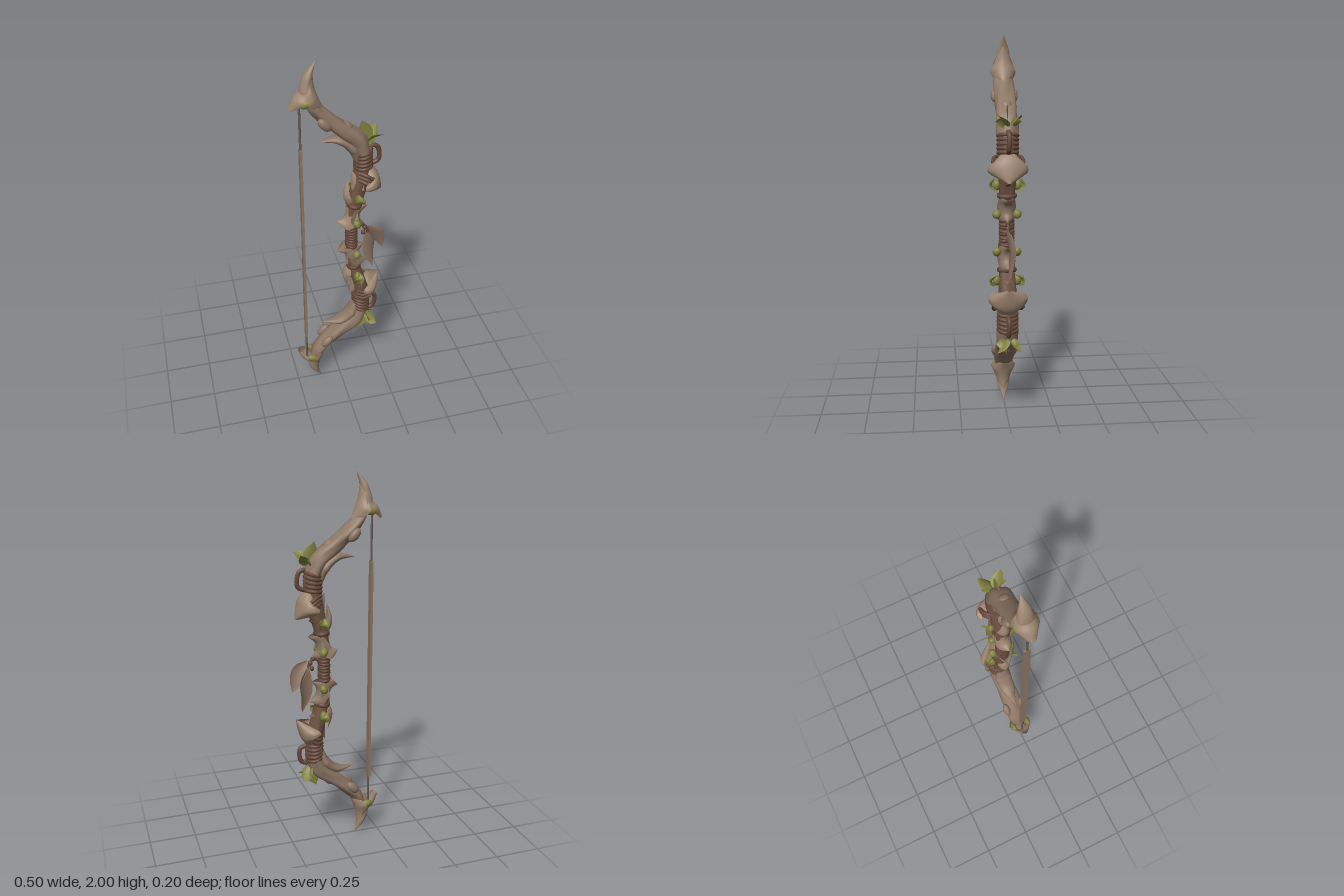
import * as THREE from 'three';

const V = (x, y, z = 0) => new THREE.Vector3(x, y, z);
const Z = V(0, 0, 1);
const mat = (name, color) => {
  const m = new THREE.MeshStandardMaterial({ color, side: THREE.DoubleSide });
  m.name = name;
  return m;
};
const M = {
  bark: mat('bark', 0x8c7564),
  plate: mat('pale bark plate', 0x9c8470),
  core: mat('dark wood', 0x6f5343),
  wrap: mat('binding', 0x654638),
  leaf: mat('leaf', 0x80803f),
  feather: mat('feather', 0x876e5e),
  string: mat('bowstring', 0x665c54),
};

// linear lookup along a list of widths
const pick = (a, t) => {
  const f = t * (a.length - 1), i = Math.min(Math.floor(f), a.length - 2);
  return THREE.MathUtils.lerp(a[i], a[i + 1], f - i);
};

function gridGeometry(pos, rows, cols, wrapAround) {
  const idx = [], n = wrapAround ? cols : cols - 1;
  for (let i = 0; i < rows - 1; i++) for (let j = 0; j < n; j++) {
    const a = i * cols + j, b = i * cols + (j + 1) % cols, c = a + cols, d = b + cols;
    idx.push(a, c, b, b, c, d);
  }
  const g = new THREE.BufferGeometry();
  g.setAttribute('position', new THREE.Float32BufferAttribute(pos, 3));
  g.setIndex(idx);
  g.computeVertexNormals();
  return g;
}

// elliptical branch: ra in the bow plane, rb across it, with twisted ridges
function branch(points, ra, rb, ridge = 0, rows = 48) {
  const curve = new THREE.CatmullRomCurve3(points), pos = [], cols = 20;
  for (let i = 0; i <= rows; i++) {
    const t = i / rows, p = curve.getPoint(t), n = curve.getTangent(t).cross(Z).normalize();
    for (let j = 0; j < cols; j++) {
      const th = j / cols * Math.PI * 2, k = 1 + ridge * Math.cos(4 * th + t * 9);
      const q = p.clone().addScaledVector(n, Math.cos(th) * pick(ra, t) * k)
        .addScaledVector(Z, Math.sin(th) * pick(rb, t) * k);
      pos.push(q.x, q.y, q.z);
    }
  }
  return gridGeometry(pos, rows + 1, cols, true);
}

// curved sheet along a spine; its edges bend back by depth through the sweep angle
function sheet(points, widths, depth, across = Z, sweep = 1) {
  const curve = new THREE.CatmullRomCurve3(points), pos = [], rows = 18, cols = 15;
  const max = Math.max(...widths), side = Math.sin(Math.min(sweep, Math.PI / 2));
  for (let i = 0; i <= rows; i++) {
    const t = i / rows, p = curve.getPoint(t), w = pick(widths, t);
    const n = curve.getTangent(t).cross(across).normalize();
    for (let j = 0; j < cols; j++) {
      const a = (j / (cols - 1) * 2 - 1) * sweep;
      const back = (1 - Math.cos(a)) / (1 - Math.cos(sweep));
      const q = p.clone().addScaledVector(across, w * Math.sin(a) / side).addScaledVector(n, -depth * back * w / max);
      pos.push(q.x, q.y, q.z);
    }
  }
  return gridGeometry(pos, rows + 1, cols, false);
}

const tube = (points, r) => new THREE.TubeGeometry(new THREE.CatmullRomCurve3(points), 24, r, 8);

function add(parent, name, geometry, material) {
  const m = new THREE.Mesh(geometry, material);
  m.name = name;
  parent.add(m);
  return m;
}

function knot(parent, name, p, size, material, tilt = 0) {
  const m = add(parent, name, new THREE.SphereGeometry(1, 14, 10), material);
  m.position.copy(p);
  m.scale.copy(size);
  m.rotation.z = tilt;
}

function ring(parent, x, y, rx, rz, tilt, r = 0.009) {
  const g = new THREE.TorusGeometry(1, 0.16, 8, 24).rotateX(Math.PI / 2);
  const m = add(parent, 'bindingRing', g, M.wrap);
  m.scale.set(rx, r / 0.16, rz);
  m.position.set(x, y, 0);
  m.rotation.z = tilt;
}

// upper half of the bow; the lower half is its mirror image
function createLimb() {
  const g = new THREE.Group();
  // main branch: dark riser, then pale bark limb
  add(g, 'riser', branch([V(0.062, 1), V(0.065, 1.1), V(0.078, 1.2), V(0.1, 1.3), V(0.12, 1.4), V(0.12, 1.5), V(0.085, 1.58)],
    [0.027, 0.028, 0.034, 0.038, 0.044, 0.044, 0.03], [0.034, 0.036, 0.042, 0.046, 0.05, 0.05, 0.04], 0.07), M.core);
  add(g, 'limb', branch([V(0.12, 1.5), V(0.088, 1.575), V(0.008, 1.64), V(-0.065, 1.705), V(-0.128, 1.775), V(-0.16, 1.85)],
    [0.046, 0.043, 0.038, 0.036, 0.031, 0.02], [0.053, 0.057, 0.055, 0.053, 0.048, 0.03], 0.08), M.bark);
  for (const s of [-1, 1]) {
    // knots in the bark
    knot(g, 'sideKnot', V(-0.085, 1.695, s * 0.05), V(0.024, 0.042, 0.021), M.bark, 0.75);
    // buds sprouting sideways beside the plates
    add(g, 'upperBud', sheet([V(0.085, 1.225, s * 0.045), V(0.088, 1.25, s * 0.078), V(0.08, 1.285, s * 0.062)],
      [0.006, 0.024, 0.026, 0.002], s * 0.014, V(1, 0, 0)), M.leaf);
    knot(g, 'upperBudCore', V(0.085, 1.25, s * 0.055), V(0.018, 0.027, 0.02), M.leaf);
    knot(g, 'lowerBud', V(0.08, 1.1, s * 0.053), V(0.02, 0.025, 0.022), M.leaf, 0.5);
    knot(g, 'tipBud', V(-0.168, 1.81, s * 0.045), V(0.032, 0.02, 0.017), M.leaf, 0.3);
    // woven strands joining the riser to the shield rim
    for (const k of [0, 1, 2])
      add(g, 'shieldStrand', tube([V(0.09, 1.4 - k * 0.02, s * 0.045), V(0.12, 1.395 - k * 0.022, s * 0.07),
        V(0.155, 1.375 - k * 0.022, s * 0.078)], 0.009), M.wrap);
  }
  knot(g, 'topKnot', V(0.04, 1.652), V(0.03, 0.018, 0.028), M.bark, -0.7);
  // horned tip
  add(g, 'tipHorn', branch([V(-0.158, 1.79), V(-0.162, 1.86), V(-0.149, 1.93), V(-0.112, 2)],
    [0.03, 0.032, 0.021, 0.001], [0.042, 0.042, 0.03, 0.001], 0, 20), M.plate);
  add(g, 'tipFrontGuard', sheet([V(-0.076, 1.762), V(-0.104, 1.82), V(-0.122, 1.88), V(-0.128, 1.95)],
    [0.008, 0.05, 0.07, 0.045, 0.032, 0.006], 0.06, Z, 1.3), M.plate);
  add(g, 'tipBackGuard', sheet([V(-0.248, 1.775), V(-0.222, 1.83), V(-0.19, 1.86), V(-0.172, 1.91)],
    [0.022, 0.05, 0.06, 0.05, 0.028], -0.05, Z, 1.4), M.plate);
  // flared shield wrapping the outer side
  add(g, 'shieldPlate', sheet([V(0.218, 1.275), V(0.208, 1.33), V(0.19, 1.385), V(0.15, 1.432)],
    [0.008, 0.065, 0.103, 0.1, 0.07, 0.03], 0.095, Z, 1.95), M.plate);
  add(g, 'shieldThorn', sheet([V(0.1, 1.24), V(0.062, 1.28), V(0.06, 1.33), V(0.058, 1.4)],
    [0.02, 0.05, 0.045, 0.002], -0.06), M.plate);
  // splinter beneath the limb
  add(g, 'splinter', branch([V(0.088, 1.46), V(0.062, 1.53), V(-0.005, 1.582), V(-0.104, 1.58)],
    [0.018, 0.028, 0.022, 0.001], [0.03, 0.05, 0.04, 0.002], 0, 24), M.bark);
  // curved inner thorn
  add(g, 'innerThorn', sheet([V(0.062, 1.17), V(0.026, 1.22), V(0.018, 1.27), V(0.042, 1.345)],
    [0.012, 0.032, 0.038, 0.026, 0.002], -0.035), M.plate);
  // thorny collar next to the grip
  add(g, 'collarInner', sheet([V(-0.014, 1.098), V(0.02, 1.112), V(0.034, 1.145), V(0.03, 1.2)],
    [0.002, 0.042, 0.05, 0.038, 0.004], -0.065, Z, 1.4), M.plate);
  add(g, 'collarOuter', sheet([V(0.13, 1.07), V(0.106, 1.105), V(0.112, 1.145), V(0.148, 1.175)],
    [0.004, 0.04, 0.05, 0.04, 0.004], 0.06, Z, 1.4), M.bark);
  add(g, 'outerThorn', sheet([V(0.105, 1.195), V(0.118, 1.24), V(0.145, 1.262)],
    [0.03, 0.038, 0.002], 0.03), M.core);
  // bindings
  for (let i = 0; i < 5; i++) ring(g, 0.12, 1.42 + i * 0.021, 0.043, 0.05, 0.1 + i * 0.04);
  for (let i = 0; i < 4; i++) ring(g, 0.063, 1.008 + i * 0.018, 0.029, 0.036, i % 2 ? 0.15 : -0.1, 0.008);
  ring(g, 0.075, 1.195, 0.036, 0.045, -0.1, 0.012);
  // curled tendril
  add(g, 'tendril', tube([V(0.135, 1.5), V(0.155, 1.525), V(0.188, 1.52), V(0.203, 1.48), V(0.197, 1.44), V(0.165, 1.425)], 0.012), M.wrap);
  // leaf cluster
  const w = [0.006, 0.026, 0.034, 0.027, 0.001];
  add(g, 'uprightLeaf', sheet([V(0.146, 1.545), V(0.132, 1.605), V(0.11, 1.668)], w, 0.008, V(1, 0.25, 0).normalize()), M.leaf);
  for (const s of [-1, 1]) {
    add(g, 'sideLeaf', sheet([V(0.138, 1.545, s * 0.004), V(0.17, 1.583, s * 0.028), V(0.2, 1.61, s * 0.058)], w, 0.01,
      V(-0.5, 0.45, s * 0.74).normalize()), M.leaf);
    add(g, 'lowLeaf', sheet([V(0.14, 1.555, s * 0.01), V(0.155, 1.572, s * 0.035), V(0.15, 1.575, s * 0.064)],
      [0.014, 0.028, 0.024, 0.002], 0.006, V(0.45, 0.89, 0)), M.leaf);
  }
  return g;
}

export function createModel() {
  const model = new THREE.Group();
  model.name = 'bow';
  const upper = createLimb();
  upper.name = 'upperHalf';
  const lower = createLimb();
  lower.name = 'lowerHalf';
  lower.scale.y = -1;
  lower.position.y = 2;
  model.add(upper, lower);

  // bowstring with a flat bark-wrapped middle
  const cord = add(model, 'bowstring', new THREE.CylinderGeometry(0.006, 0.006, 1.66, 8), M.string);
  cord.position.set(-0.195, 1, 0);
  const ribbon = add(model, 'stringWrap', new THREE.BoxGeometry(0.013, 1.21, 0.034), M.bark);
  ribbon.position.set(-0.195, 0.945, 0);

  // hanging feathers on a beaded cord
  add(model, 'featherCord', tube([V(0.08, 1.03), V(0.12, 1.06), V(0.14, 1.035), V(0.155, 1)], 0.007), M.wrap);
  for (const [x, y] of [[0.122, 1.058], [0.137, 1.035], [0.128, 1.005]])
    knot(model, 'bead', V(x, y), V(0.012, 0.014, 0.012), M.wrap);
  const fw = [0.008, 0.03, 0.039, 0.036, 0.022, 0.001];
  add(model, 'shortFeather', sheet([V(0.148, 1.045, 0.008), V(0.188, 1.005, 0.008), V(0.218, 0.945, 0), V(0.236, 0.885, -0.005)],
    fw, 0.012, V(0.85, 0.4, 0.35).normalize()), M.feather);
  add(model, 'longFeather', sheet([V(0.155, 1.01, -0.01), V(0.17, 0.94, -0.012), V(0.168, 0.86, -0.008), V(0.185, 0.765, 0)],
    fw, 0.012, V(0.93, 0.05, -0.3).normalize()), M.feather);
  return model;
}
